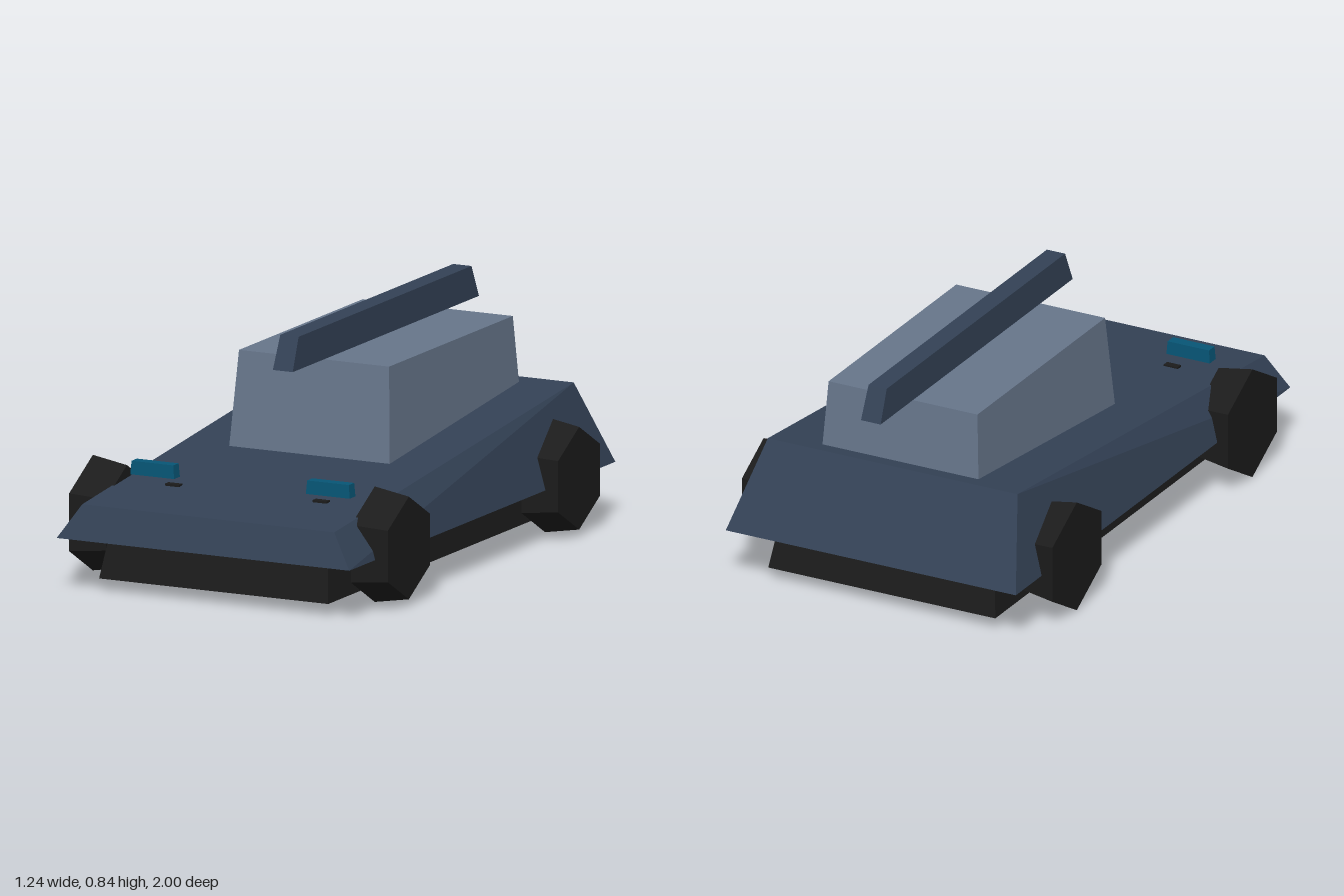
import * as THREE from 'three';
import { ConvexGeometry } from 'three/addons/geometries/ConvexGeometry.js';

const paint = (name, color) => {
  const m = new THREE.MeshStandardMaterial({ color, side: THREE.DoubleSide });
  m.name = name;
  return m;
};

// Tapered shell, open underneath. Each edge is [halfWidth, y, z],
// given for the bottom and top of the front, then of the back.
function taperedShell(...edges) {
  const points = [];
  for (const [w, y, z] of edges) {
    points.push(new THREE.Vector3(w, y, z), new THREE.Vector3(-w, y, z));
  }
  const solid = new ConvexGeometry(points);
  const { position, normal } = solid.attributes;
  const kept = [];
  for (let i = 0; i < position.count; i += 3) {
    if (normal.getY(i) > -0.9) kept.push(i, i + 1, i + 2);
  }
  solid.setIndex(kept);
  return solid.toNonIndexed();
}

export function createModel() {
  const model = new THREE.Group();
  model.name = 'vehicle';

  const hullBlue = paint('hullBlue', 0x334155);
  const cabinGrey = paint('cabinGrey', 0x66758a);
  const rubberBlack = paint('rubberBlack', 0x1b1b1b);
  const lampBlue = paint('lampBlue', 0x075575);

  const add = (name, geometry, material, x = 0, y = 0, z = 0) => {
    const mesh = new THREE.Mesh(geometry, material);
    mesh.name = name;
    mesh.position.set(x, y, z);
    model.add(mesh);
    return mesh;
  };

  // Dark underbody, an upturned tray reaching up inside the hull
  add('chassis', taperedShell(
    [0.45, 0.043, 0.92], [0.415, 0.295, 0.857],
    [0.45, 0.043, -0.92], [0.415, 0.295, -0.857]), rubberBlack);

  // Wedge hull rising towards the back
  add('hull', taperedShell(
    [0.575, 0.19, 1], [0.495, 0.311, 0.96],
    [0.575, 0.19, -1], [0.495, 0.496, -0.84]), hullBlue);

  // Cabin sunk into the hull
  add('cabin', taperedShell(
    [0.318, 0.345, 0.204], [0.295, 0.727, 0.165],
    [0.318, 0.345, -0.795], [0.295, 0.727, -0.765]), cabinGrey);

  // Long beam along the roof
  add('roofBeam', taperedShell(
    [0.039, 0.727, 0.4], [0.036, 0.843, 0.35],
    [0.039, 0.727, -1], [0.036, 0.843, -0.95]), hullBlue);

  // Six-sided wheels, all tapering the same way
  const wheel = new THREE.CylinderGeometry(0.206, 0.183, 0.134, 6, 1, false, Math.PI / 6).toNonIndexed();
  wheel.rotateZ(Math.PI / 2);
  wheel.computeVertexNormals();

  // Front lamps, each with a low bracket behind
  const lamp = taperedShell(
    [0.086, -0.024, 0.022], [0.082, 0.024, 0.02],
    [0.086, -0.024, -0.022], [0.082, 0.024, -0.02]);
  const bracket = new THREE.BoxGeometry(0.055, 0.05, 0.025);

  for (const side of [1, -1]) {
    const label = side > 0 ? 'left' : 'right';
    add(label + 'FrontWheel', wheel, rubberBlack, side * 0.554, 0.206, 0.64);
    add(label + 'BackWheel', wheel, rubberBlack, side * 0.554, 0.206, -0.64);
    add(label + 'Lamp', lamp, lampBlue, side * 0.345, 0.402, 0.7);
    add(label + 'LampBracket', bracket, rubberBlack, side * 0.29, 0.323, 0.665);
  }

  return model;
}
